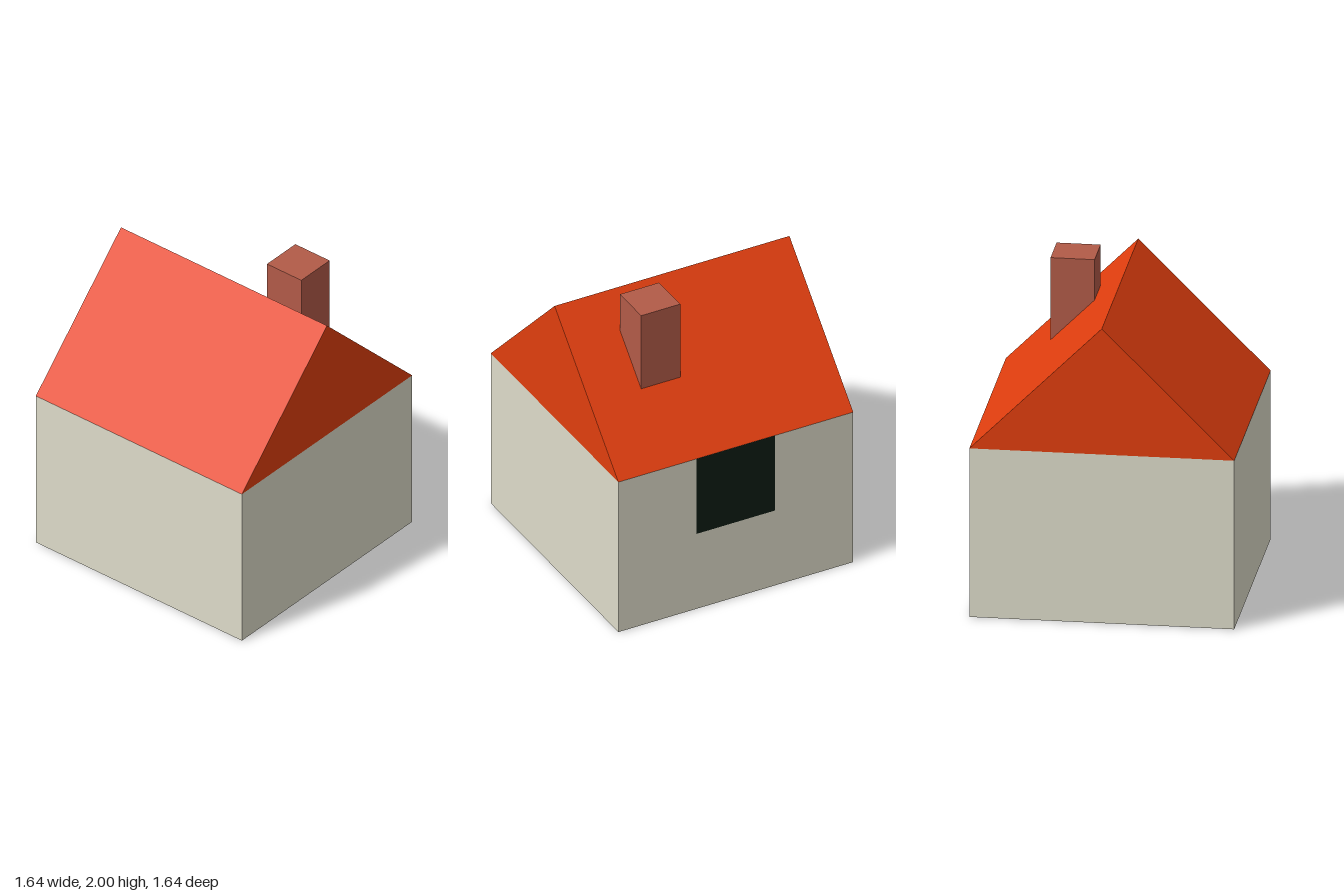
import * as THREE from 'three';

const HALF = 0.82, WALL_TOP = 1.1, RIDGE = 1.92, PANEL = 0.547;

export function createModel() {
  const house = new THREE.Group();
  house.name = 'house';

  const add = (name, geometry, color, x, y, z) => {
    const material = new THREE.MeshStandardMaterial({ color, flatShading: true });
    const mesh = new THREE.Mesh(geometry, material);
    mesh.name = name;
    mesh.position.set(x, y, z);
    house.add(mesh);
    return mesh;
  };

  // Square block of walls
  add('walls', new THREE.BoxGeometry(2 * HALF, WALL_TOP, 2 * HALF), 0xdedcca, 0, WALL_TOP / 2, 0);

  // Gabled roof: triangle extruded from back to front
  const gable = new THREE.Shape([
    new THREE.Vector2(-HALF, WALL_TOP),
    new THREE.Vector2(HALF, WALL_TOP),
    new THREE.Vector2(0, RIDGE),
  ]);
  const roof = new THREE.ExtrudeGeometry(gable, { depth: 2 * HALF, bevelEnabled: false });
  add('roof', roof, 0xe03e0e, 0, 0, -HALF);

  // Chimney rising out of the left slope
  add('chimney', new THREE.BoxGeometry(0.273, 0.54, 0.273), 0xb25b48, 0.32, 1.73, 0.327);

  // Dark window directly under the eaves, a hair proud of the wall
  const window = add('window', new THREE.PlaneGeometry(PANEL, 0.55), 0x0d1c14, HALF + 0.001, 0.825, 0);
  window.rotation.y = Math.PI / 2;

  // Square panel in the middle of the underside
  const panel = add('floorPanel', new THREE.PlaneGeometry(PANEL, PANEL), 0xe03e0e, 0, -0.001, 0);
  panel.rotation.x = Math.PI / 2;

  return house;
}
